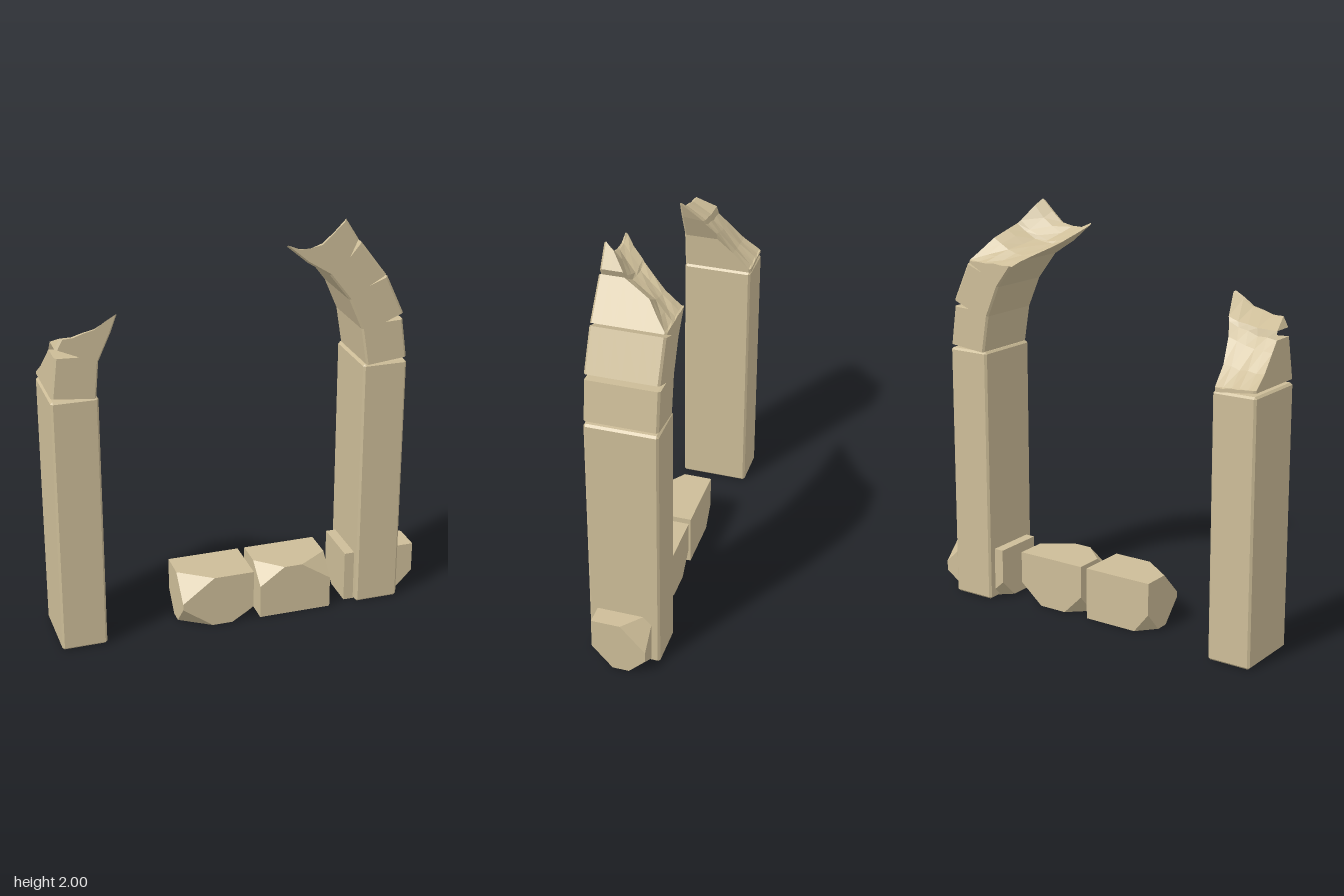
import * as THREE from 'three';
import { ConvexGeometry } from 'three/addons/geometries/ConvexGeometry.js';

const stone = new THREE.MeshStandardMaterial({ color: 0xcdbd98, flatShading: true });
const V = (x, y, z) => new THREE.Vector3(x, y, z);
const CENTRE = [-0.05, 1.28]; // springing centre of the arch
const HALF = 0.17;            // half the depth of the arch

function add(group, name, geometry) {
  const mesh = new THREE.Mesh(geometry, stone);
  mesh.name = name;
  group.add(mesh);
}

// Calls fn with the signs and position of each box corner
function eachCorner(min, max, fn) {
  for (const sx of [-1, 1]) for (const sy of [-1, 1]) for (const sz of [-1, 1]) {
    const s = [sx, sy, sz];
    fn(s, s.map((v, i) => (v < 0 ? min[i] : max[i])));
  }
}

// Box with every edge slightly bevelled
function bevelBox(min, max, b) {
  const pts = [];
  eachCorner(min, max, (s, c) => {
    for (let keep = 0; keep < 3; keep++)
      pts.push(V(...c.map((v, i) => (i === keep ? v : v - s[i] * b))));
  });
  return new ConvexGeometry(pts);
}

// Box with chosen corners knocked off; cuts: [sx, sy, sz, distance along x, y, z]
function chippedBox(min, max, cuts) {
  const pts = [];
  eachCorner(min, max, (s, c) => {
    const cut = cuts.find(k => s.every((v, i) => v === k[i]));
    if (!cut) return pts.push(V(...c));
    for (let axis = 0; axis < 3; axis++)
      pts.push(V(...c.map((v, i) => (i === axis ? v - s[i] * cut[3 + i] : v))));
  });
  return new ConvexGeometry(pts);
}

// Point on a polyline at a fractional index
function at(path, t) {
  const i = Math.min(Math.floor(t), path.length - 2), f = t - i;
  return [0, 1].map(k => path[i][k] + (path[i + 1][k] - path[i][k]) * f);
}

// Cross-section of the arch where outer and inner edges stop at tOut and tIn
function section(outer, inner, tOut, tIn, sag, seed, bevel) {
  const pull = (p, k) => p.map((v, i) => CENTRE[i] + (v - CENTRE[i]) * (1 + k * bevel));
  const out = outer.map((_, i) => pull(at(outer, Math.min(i, tOut)), -1));
  const inn = inner.map((_, i) => pull(at(inner, Math.min(i, tIn)), 1)).reverse();
  const a = out[out.length - 1], b = inn[0], broken = [];
  for (const f of [0.2, 0.4, 0.6, 0.8]) {
    const dip = sag * Math.sin(f * Math.PI) + 0.004 * Math.sin(seed * 5 + f * 17);
    broken.push([a[0] + (b[0] - a[0]) * f, a[1] + (b[1] - a[1]) * f - dip]);
  }
  return [...out, ...broken, ...inn];
}

// Broken arch lofted from back to front; stations: [z, tOut, tIn, sag]
function brokenArch(outer, inner, stations) {
  const first = stations[0], last = stations[stations.length - 1];
  const rows = [[-HALF, ...first.slice(1), 0.013], ...stations, [HALF, ...last.slice(1), 0.013]];
  const rings = rows.map(([z, o, i, sag, bevel = 0], k) =>
    section(outer, inner, o, i, sag, k, bevel).map(p => V(p[0], p[1], z)));
  const front = rings[rings.length - 1];
  if (THREE.ShapeUtils.isClockWise(front)) rings.forEach(r => r.reverse());

  const tris = [];
  const n = front.length;
  for (let k = 0; k < rings.length - 1; k++) for (let i = 0; i < n; i++) {
    const j = (i + 1) % n, A = rings[k], B = rings[k + 1];
    tris.push(A[i], A[j], B[j], A[i], B[j], B[i]);
  }
  const cap = (ring, flip) => {
    const flat = ring.map(p => new THREE.Vector2(p.x, p.y));
    for (const [a, b, c] of THREE.ShapeUtils.triangulateShape(flat, []))
      tris.push(ring[a], ring[flip ? c : b], ring[flip ? b : c]);
  };
  cap(rings[0], true);
  cap(front, false);
  const g = new THREE.BufferGeometry().setFromPoints(tris);
  g.computeVertexNormals();
  return g;
}

export function createModel() {
  const model = new THREE.Group();
  model.name = 'ruinedArch';

  // Pillars
  add(model, 'leftPillar', bevelBox([0.59, 0, -HALF], [0.81, 1.28, HALF], 0.01));
  add(model, 'rightPillar', bevelBox([-0.91, 0, -HALF], [-0.69, 1.28, HALF], 0.01));

  // Long remaining arch piece, with wedge joints between its blocks
  add(model, 'leftArch', brokenArch(
    [[0.807, 1.297], [0.78, 1.49], [0.70, 1.487], [0.782, 1.52], [0.695, 1.708], [0.61, 1.675],
      [0.687, 1.718], [0.56, 1.885], [0.51, 1.825], [0.545, 1.90], [0.482, 2.0]],
    [[0.605, 1.278], [0.575, 1.46], [0.51, 1.61], [0.41, 1.74], [0.30, 1.81], [0.20, 1.895]],
    [
      [-0.16, 6.05, 2.8, 0], [-0.12, 6.3, 2.95, 0.01], [-0.07, 6.65, 3.2, 0.02],
      [0, 6.85, 3.7, 0.03], [0.055, 7, 4.1, 0.04], [0.065, 9, 4.2, 0.04],
      [0.12, 9.7, 4.6, 0.055], [0.16, 10, 5, 0.065],
    ]));

  // Short arch stump on the other pillar
  add(model, 'rightArchStump', brokenArch(
    [[-0.908, 1.297], [-0.885, 1.49], [-0.78, 1.485], [-0.88, 1.53], [-0.855, 1.578]],
    [[-0.70, 1.277], [-0.685, 1.45], [-0.625, 1.58], [-0.595, 1.66]],
    [
      [-0.16, 0.06, 0.12, 0], [-0.08, 0.35, 0.6, 0.005], [0, 0.75, 1.3, 0.01],
      [0.05, 1, 1.75, 0.012], [0.06, 3, 1.9, 0.012], [0.16, 4, 3, 0.022],
    ]));

  // Fallen stones with chipped corners
  add(model, 'fallenStoneOuter', chippedBox([-0.31, 0, -0.09], [0.05, 0.26, 0.165], [
    [-1, 1, 1, 0.16, 0.12, 0.115], [-1, -1, 1, 0.15, 0.11, 0.1],
    [1, -1, 1, 0.11, 0.07, 0.08], [-1, -1, -1, 0.08, 0.1, 0.09]]));
  add(model, 'fallenStoneMiddle', chippedBox([0.085, 0, -0.09], [0.45, 0.26, 0.165], [
    [-1, 1, 1, 0.125, 0.09, 0.115], [1, 1, 1, 0.15, 0.1, 0.1],
    [1, -1, -1, 0.12, 0.1, 0.1], [-1, -1, -1, 0.1, 0.1, 0.09]]));
  add(model, 'fallenStoneInner', chippedBox([0.54, 0, -0.13], [0.905, 0.26, 0.13], [
    [1, -1, 1, 0.11, 0.11, 0.1], [1, 1, -1, 0.14, 0.13, 0.12],
    [1, -1, -1, 0.12, 0.08, 0.08], [-1, -1, -1, 0.1, 0.09, 0.09]]));

  return model;
}
